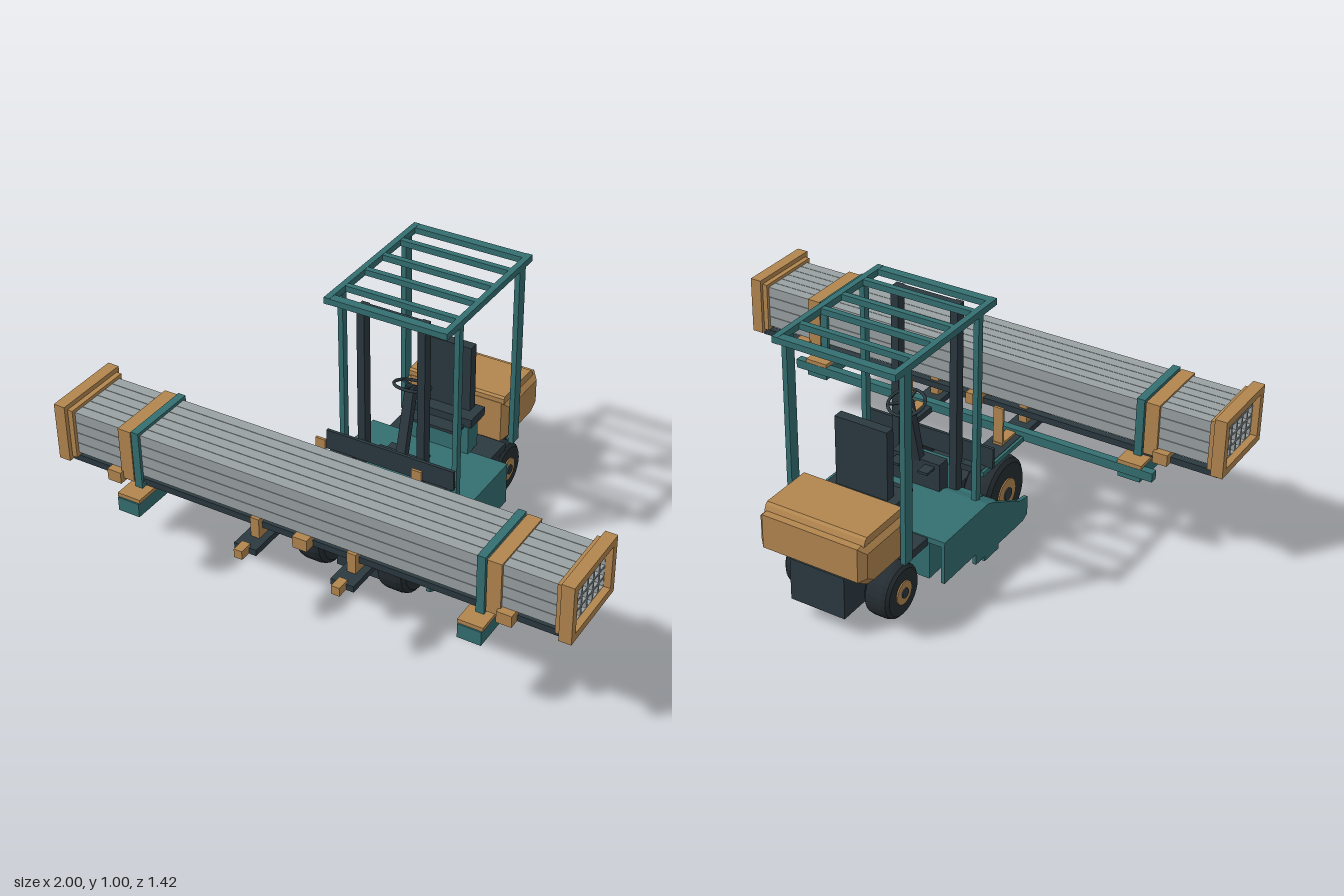
import * as THREE from 'three';

const mat = (name, color) => {
  const m = new THREE.MeshStandardMaterial({ color });
  m.name = name;
  return m;
};

export function createModel() {
  const root = new THREE.Group();
  root.name = 'forkliftWithLoad';
  const teal = mat('teal paint', 0x346f71);
  const dark = mat('dark steel', 0x2b3940);
  const rubber = mat('rubber', 0x252d32);
  const wood = mat('ochre', 0xb2864f);
  const steel = mat('grey steel', 0x9aa1a3);

  const add = (name, geo, m, parent = root) => {
    const mesh = new THREE.Mesh(geo, m);
    mesh.name = name;
    parent.add(mesh);
    return mesh;
  };
  // box given by its min and max on each axis
  const box = (name, m, x0, x1, y0, y1, z0, z1, parent = root) => {
    const b = add(name, new THREE.BoxGeometry(x1 - x0, y1 - y0, z1 - z0), m, parent);
    b.position.set((x0 + x1) / 2, (y0 + y1) / 2, (z0 + z1) / 2);
    return b;
  };
  // the same box on both sides
  const pair = (name, m, x0, x1, y0, y1, z0, z1) => {
    box(name + 'Left', m, x0, x1, y0, y1, z0, z1);
    box(name + 'Right', m, -x1, -x0, y0, y1, z0, z1);
  };
  // [z, y] outline extruded along x
  const slab = (name, m, pts, x0, x1) => {
    const s = new THREE.Shape(pts.map(([z, y]) => new THREE.Vector2(-z, y)));
    const g = new THREE.ExtrudeGeometry(s, { depth: x1 - x0, bevelEnabled: false });
    g.rotateY(Math.PI / 2).translate(x0, 0, 0);
    return add(name, g, m);
  };
  // rectangular ring in the z-y plane, extruded along x
  const ring = (name, m, x0, x1, y0, y1, z0, z1, t, parent = root) => {
    const s = new THREE.Shape([[-z1, y0], [-z0, y0], [-z0, y1], [-z1, y1]].map(p => new THREE.Vector2(...p)));
    s.holes.push(new THREE.Path([[-z1 + t, y0 + t], [-z1 + t, y1 - t], [-z0 - t, y1 - t], [-z0 - t, y0 + t]]
      .map(p => new THREE.Vector2(...p))));
    const g = new THREE.ExtrudeGeometry(s, { depth: x1 - x0, bevelEnabled: false });
    g.rotateY(Math.PI / 2).translate(x0, 0, 0);
    return add(name, g, m, parent);
  };

  // Wheels: lathed tyre, hub and axle cap
  const wheel = (name, side, xIn, xOut, y, z, r, hubR) => {
    const w = new THREE.Group();
    w.name = name;
    const h = (xOut - xIn) / 2;
    const prof = [[0, -h], [r * 0.85, -h], [r * 0.96, -h * 0.8], [r, -h * 0.45], [r, h * 0.45],
      [r * 0.96, h * 0.8], [r * 0.85, h], [hubR, h], [hubR, h - 0.012], [0, h - 0.012]];
    const tyre = new THREE.LatheGeometry(prof.map(p => new THREE.Vector2(...p)), 28).toNonIndexed();
    tyre.computeVertexNormals();
    add('tyre', tyre, rubber, w);
    add('hub', new THREE.CylinderGeometry(hubR, hubR, 0.016, 20).translate(0, h - 0.003, 0), wood, w);
    add('axleCap', new THREE.CylinderGeometry(hubR * 0.42, hubR * 0.42, 0.016, 14).translate(0, h + 0.002, 0), dark, w);
    w.rotation.z = -side * Math.PI / 2;
    w.position.set(side * (xIn + xOut) / 2, y, z);
    root.add(w);
  };
  for (const s of [1, -1]) {
    wheel('frontWheel', s, 0.11, 0.225, 0.145, 0.193, 0.14, 0.06);
    wheel('rearWheel', s, 0.115, 0.215, 0.11, -0.475, 0.104, 0.045);
  }
  box('frontAxle', dark, -0.12, 0.12, 0.12, 0.17, 0.17, 0.22);
  box('rearAxle', dark, -0.12, 0.12, 0.09, 0.13, -0.5, -0.45);

  // Chassis: side skirts, deck, central body
  const skirt = [[0.245, 0.125], [0.19, 0.135], [0, 0.235], [-0.04, 0.25], [-0.325, 0.25], [-0.325, 0.08],
    [-0.115, 0.08], [-0.115, 0.035], [0.215, 0.035], [0.245, 0.05]];
  slab('leftSkirt', teal, skirt, 0.27, 0.285);
  slab('rightSkirt', teal, skirt, -0.285, -0.27);
  slab('deck', teal, [[0.055, 0.207], [0, 0.235], [-0.04, 0.25], [-0.325, 0.25], [-0.325, 0.228], [-0.04, 0.228],
    [0, 0.213], [0.055, 0.186]], -0.27, 0.27);
  box('bellyPlate', teal, -0.285, 0.285, 0.015, 0.036, -0.055, 0.04);
  box('centralBody', teal, -0.22, 0.22, 0.075, 0.23, -0.32, 0.03);
  box('lowerBody', teal, -0.22, 0.22, 0.036, 0.08, -0.11, 0.03);
  box('driveHousing', dark, -0.1, 0.1, 0.02, 0.21, 0.03, 0.24);
  box('rearBody', dark, -0.11, 0.11, 0.08, 0.246, -0.675, -0.32);
  box('rearCover', dark, -0.215, 0.215, 0.215, 0.246, -0.445, -0.32);

  // Counterweight with chamfered edges and a raised cap
  const cw = new THREE.Shape([[0.47, 0.27], [0.65, 0.27], [0.687, 0.295], [0.687, 0.39], [0.47, 0.39]]
    .map(p => new THREE.Vector2(...p)));
  const cwGeo = new THREE.ExtrudeGeometry(cw,
    { depth: 0.382, bevelEnabled: true, bevelSize: 0.024, bevelThickness: 0.024, bevelSegments: 1 });
  cwGeo.rotateY(Math.PI / 2).translate(-0.191, 0, 0);
  add('counterweight', cwGeo, wood);
  slab('counterweightCap', wood, [[-0.448, 0.41], [-0.685, 0.41], [-0.675, 0.432], [-0.666, 0.44], [-0.456, 0.44],
    [-0.448, 0.432]], -0.2, 0.2);

  // Overhead guard
  pair('frontPost', teal, 0.22, 0.24, 0.22, 0.98, -0.046, -0.018);
  pair('rearPost', teal, 0.22, 0.24, 0.245, 0.98, -0.5, -0.456);
  pair('roofRail', teal, 0.217, 0.24, 0.975, 1, -0.55, 0.07);
  [[-0.533, 0.034], [-0.42, 0.022], [-0.295, 0.022], [-0.175, 0.022], [-0.045, 0.022], [0.053, 0.034]].forEach(([z, w]) =>
    box('roofBar', teal, -0.218, 0.218, 0.976, 0.999, z - w / 2, z + w / 2));

  // Mast and fork carriage
  pair('mastRail', dark, 0.105, 0.135, 0.1, 0.977, -0.01, 0.03);
  box('mastTop', dark, -0.105, 0.105, 0.96, 0.977, -0.005, 0.025);
  box('mastFoot', teal, -0.105, 0.105, 0.22, 0.335, -0.01, 0.034);
  box('carriagePlate', dark, -0.26, 0.26, 0.35, 0.43, 0.03, 0.042);
  pair('fork', dark, 0.147, 0.235, 0.328, 0.352, 0, 0.67);
  pair('forkTip', wood, 0.175, 0.207, 0.33, 0.364, 0.66, 0.713);
  pair('forkPad', wood, 0.173, 0.212, 0.352, 0.361, 0.175, 0.28);
  pair('forkStop', wood, 0.173, 0.212, 0.355, 0.503, 0.178, 0.188);
  pair('carriageArm', teal, 0.235, 0.245, 0.331, 0.35, -0.01, 0.28);

  // Spreader beam with outer support arms
  box('spreaderBeam', teal, -0.76, 0.76, 0.335, 0.37, 0.272, 0.303);
  pair('supportArm', teal, 0.625, 0.712, 0.315, 0.37, 0.277, 0.68);
  pair('supportPad', wood, 0.622, 0.715, 0.37, 0.385, 0.273, 0.675);

  // Seat
  box('seatBase', teal, -0.13, 0.13, 0.25, 0.365, -0.38, -0.307);
  box('seatCushion', dark, -0.14, 0.14, 0.365, 0.4, -0.415, -0.31);
  box('seatBack', dark, -0.105, 0.105, 0.4, 0.668, -0.402, -0.363);
  box('seatLip', dark, -0.11, 0.11, 0.358, 0.37, -0.31, -0.252);

  // Steering and foot controls
  box('dashboard', dark, -0.1, 0.1, 0.23, 0.36, -0.065, -0.012);
  pair('pedal', dark, 0.04, 0.08, 0.336, 0.346, -0.115, -0.06);
  const column = box('steeringColumn', dark, -0.018, 0.018, -0.135, 0.135, -0.016, 0.016);
  column.position.set(0, 0.485, -0.083);
  column.rotation.x = -0.25;
  const steering = new THREE.Group();
  steering.name = 'steeringWheel';
  add('rim', new THREE.TorusGeometry(0.066, 0.006, 6, 24).rotateX(Math.PI / 2), dark, steering);
  for (let i = 0; i < 3; i++) {
    const a = i * Math.PI * 2 / 3;
    add('spoke', new THREE.BoxGeometry(0.01, 0.006, 0.066).translate(0, 0, 0.033).rotateY(a), dark, steering);
  }
  steering.position.set(0, 0.613, -0.121);
  steering.rotation.x = -0.3;
  root.add(steering);

  // Bundle of hollow square tubes
  const load = new THREE.Group();
  load.name = 'tubeBundle';
  root.add(load);
  const p = 0.0425;
  for (let r = 0; r < 4; r++) {
    for (let c = 0; c < 6; c++) {
      const y = 0.43 + r * p, z = 0.345 + c * p;
      ring('tube', steel, -0.975, 0.975, y + 0.001, y + p - 0.001, z + 0.001, z + p - 0.001, 0.004, load);
    }
  }

  // Load packing: end frames, bands, runners, cross bearers
  for (const s of [1, -1]) {
    const span = (a, b) => (s > 0 ? [a, b] : [-b, -a]);
    ring('endFrame', wood, ...span(0.955, 1), 0.405, 0.63, 0.32, 0.63, 0.028, load);
    ring('endFrameInner', wood, ...span(0.935, 0.955), 0.417, 0.612, 0.333, 0.614, 0.014, load);
    ring('woodBand', wood, ...span(0.69, 0.742), 0.4, 0.606, 0.335, 0.611, 0.01, load);
    ring('tealBand', teal, ...span(0.655, 0.685), 0.385, 0.612, 0.333, 0.613, 0.012, load);
  }
  for (const z of [0.362, 0.575]) box('runner', dark, -0.97, 0.97, 0.385, 0.41, z - 0.014, z + 0.014, load);
  for (const x of [-0.763, 0, 0.763]) box('bearer', wood, x - 0.028, x + 0.028, 0.385, 0.43, 0.318, 0.628, load);
  for (const x of [-0.19, 0.19]) box('forkBearer', wood, x - 0.017, x + 0.017, 0.352, 0.43, 0.36, 0.61, load);

  return root;
}
